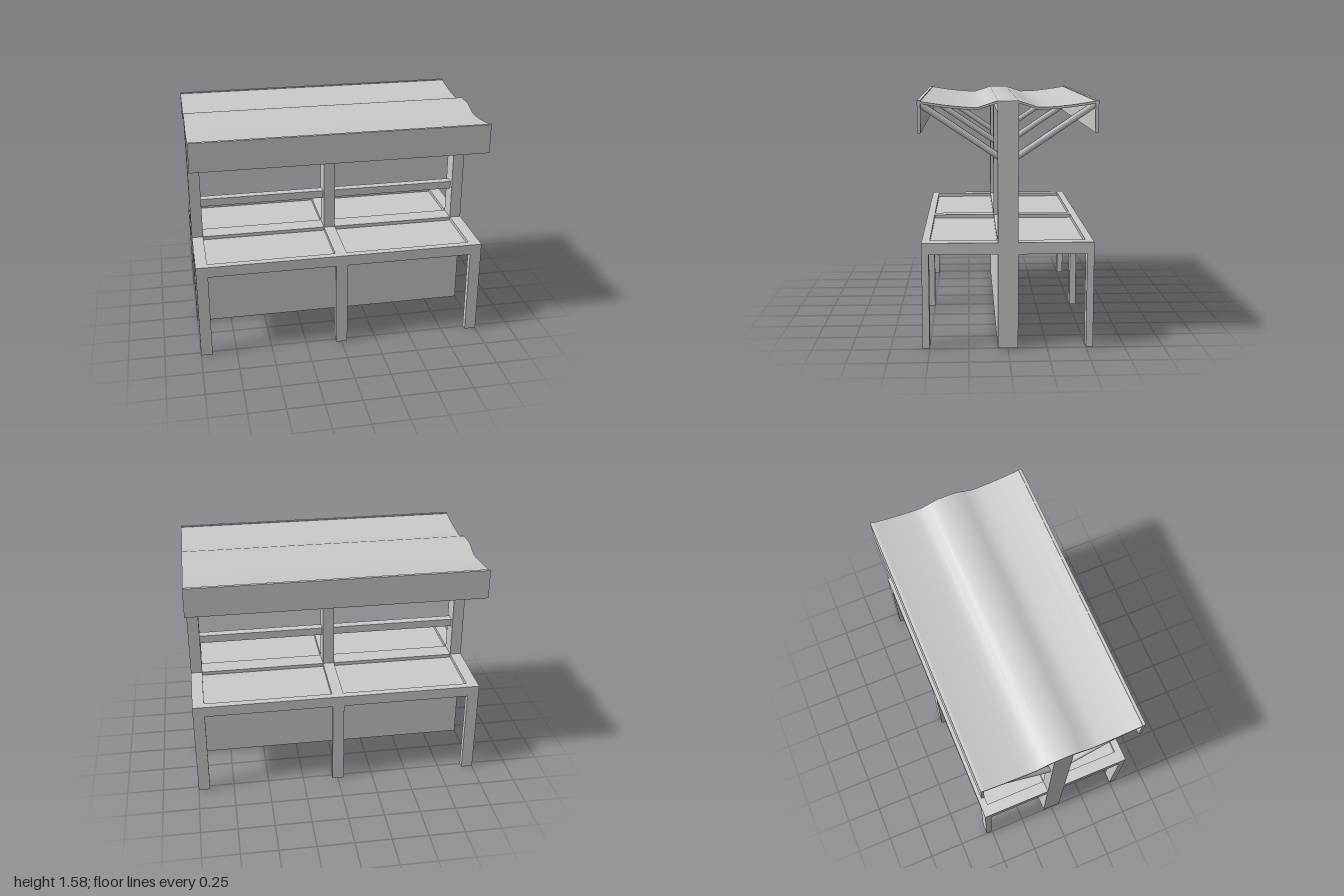
import * as THREE from 'three';
import { toCreasedNormals } from 'three/addons/utils/BufferGeometryUtils.js';

const mat = new THREE.MeshStandardMaterial({ color: 0xcccccc });

export function createModel() {
  const model = new THREE.Group();
  model.name = 'marketStall';

  const add = (name, geometry) => {
    const mesh = new THREE.Mesh(geometry, mat);
    mesh.name = name;
    model.add(mesh);
    return mesh;
  };
  // Box given by its lower and upper corners
  const box = (name, x0, x1, y0, y1, z0, z1) =>
    add(name, new THREE.BoxGeometry(x1 - x0, y1 - y0, z1 - z0))
      .position.set((x0 + x1) / 2, (y0 + y1) / 2, (z0 + z1) / 2);
  // Box repeated on the front (s = 1) and back (s = -1)
  const sideBox = (s, name, x0, x1, y0, y1, z0, z1) =>
    box(name, x0, x1, y0, y1, Math.min(s * z0, s * z1), Math.max(s * z0, s * z1));

  const columns = [-0.96, 0, 0.96], half = 0.04, depth = 0.065;

  // Central frame: posts, lower wall and rails filling each bay
  for (const x of columns) box('post', x - half, x + half, 0, 1.565, -depth, depth);
  for (const s of [-1, 1]) {
    const x0 = s < 0 ? -0.92 : 0.04, x1 = x0 + 0.88;
    box('lowerWall', x0, x1, 0, 0.69, -depth, depth);
    box('middleRail', x0, x1, 0.91, 0.965, -0.03, 0.03);
    box('topRail', x0, x1, 1.5, 1.565, -depth, depth);
  }

  for (const s of [-1, 1]) {
    // Counter: raised rim, cross bars, sunken boards and legs
    sideBox(s, 'counterEdge', -1, 1, 0.615, 0.69, 0.495, 0.545);
    for (const x of columns) {
      sideBox(s, 'counterBar', x - half, x + half, 0.615, 0.69, depth, 0.495);
      sideBox(s, 'leg', x - half, x + half, 0.005, 0.615, 0.5, 0.545);
    }
    for (const x0 of [-0.92, 0.04])
      sideBox(s, 'counterBoard', x0, x0 + 0.88, 0.615, 0.665, depth, 0.495);

    // Hanging edge of the canopy
    sideBox(s, 'canopyValance', -1, 1, 1.38, 1.58, 0.537, 0.558);

    // Six-sided struts from post to canopy edge
    const from = new THREE.Vector2(0.045, 1.222), to = new THREE.Vector2(0.54, 1.555);
    for (const x of columns) {
      const strut = add('strut', new THREE.CylinderGeometry(
        0.023, 0.023, from.distanceTo(to), 6, 1, false, Math.PI / 2));
      strut.position.set(x, (from.y + to.y) / 2, s * (from.x + to.x) / 2);
      strut.rotation.x = s * Math.atan2(to.x - from.x, to.y - from.y);
    }
  }

  // Canopy sheet: sagging profile (z, y), mirrored and extruded along x
  const front = [[0.54, 1.575], [0.47, 1.563], [0.4, 1.553], [0.32, 1.544],
    [0.25, 1.539], [0.185, 1.538], [0.125, 1.558], [0.065, 1.577]];
  const top = [...front, ...front.map(([z, y]) => [-z, y]).reverse()];
  const under = top.map(([z, y]) => [z, y - 0.015]).reverse();
  const outline = new THREE.Shape([...top, ...under].map(([z, y]) => new THREE.Vector2(-z, y)));
  const sheet = new THREE.ExtrudeGeometry(outline, { depth: 2, bevelEnabled: false });
  sheet.translate(0, 0, -1).rotateY(Math.PI / 2);
  add('canopy', toCreasedNormals(sheet, 0.7));

  return model;
}
